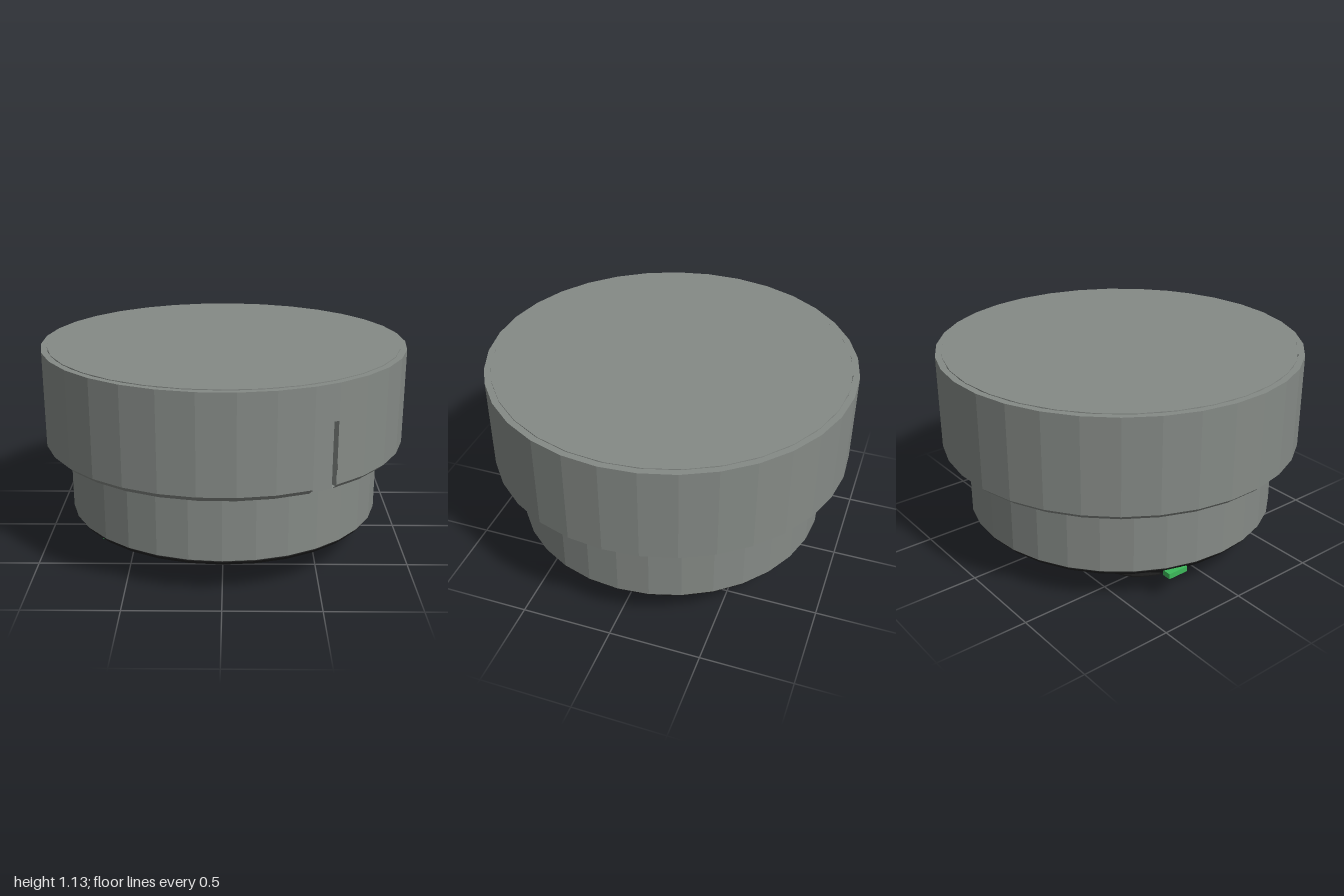
import * as THREE from 'three';
import { RoundedBoxGeometry } from 'three/addons/geometries/RoundedBoxGeometry.js';

const paint = (color) => new THREE.MeshStandardMaterial({ color, flatShading: true, side: THREE.DoubleSide });
const shell = paint(0x858a86), black = paint(0x222222), green = paint(0x3cb95a), grey = paint(0xcccccc);

export function createModel() {
  const model = new THREE.Group();

  const add = (name, geometry, material, x = 0, y = 0, z = 0) => {
    const mesh = new THREE.Mesh(geometry, material);
    mesh.name = name;
    mesh.position.set(x, y, z);
    model.add(mesh);
    return mesh;
  };
  const lathe = (profile, segments = 32, start = 0, sweep = Math.PI * 2) =>
    new THREE.LatheGeometry(profile.map(([r, y]) => new THREE.Vector2(r, y)), segments, start, sweep);

  // Wide upper ring, left open where the alignment slot is cut
  const slotAngle = Math.PI / 6, half = 0.07, slotRadius = 0.965;
  add('upperRing', lathe([[0.86, 0.58], [0.968, 0.58], [1, 0.61], [1, 1.13], [0.965, 1.13]],
    32, slotAngle + half, Math.PI * 2 - 2 * half), shell);

  // Slot floor, slot ceiling and the wall above it
  add('alignmentSlot', lathe([[0.86, 0.58], [slotRadius, 0.58], [slotRadius, 0.94], [1, 0.94], [1, 1.13], [0.965, 1.13]],
    1, slotAngle - half, 2 * half), shell);
  for (const side of [-1, 1]) {
    const a = slotAngle + side * half, r = (slotRadius + 0.998) / 2;
    const wall = add('slotWall', new THREE.PlaneGeometry(0.998 - slotRadius, 0.34), shell,
      Math.sin(a) * r, 0.77, Math.cos(a) * r);
    wall.rotation.y = a - Math.PI / 2;
  }

  // Top lid, a hair above the ring
  add('topLid', lathe([[0.965, 1.12], [0.965, 1.134], [0, 1.134]]), shell);

  // Narrower lower body
  add('lowerBody', lathe([[0.855, 0.2], [0.866, 0.21], [0.866, 0.59]]), shell);

  // Black base plate with a rounded rim
  add('basePlate', lathe([[0, 0.168], [0.81, 0.168], [0.84, 0.178], [0.86, 0.2], [0.862, 0.215], [0.8, 0.215]]), black);

  // Central foot: a bowl trimmed flat at the front and back, with softened edges
  const foot = lathe([[0, 0.005], [0.5, 0.005], [0.58, 0.014], [0.66, 0.045], [0.73, 0.09], [0.79, 0.135],
    [0.835, 0.175], [0.86, 0.205]], 64);
  const p = foot.attributes.position;
  for (let i = 0; i < p.count; i++) {
    const w = 0.35 - 0.035 * Math.max(0, 1 - p.getY(i) / 0.045);
    p.setZ(i, THREE.MathUtils.clamp(p.getZ(i), -w, w));
  }
  foot.computeVertexNormals();
  add('centralFoot', foot, black);

  // Rounded shoulders beside each connector
  const outline = new THREE.Shape();
  outline.moveTo(0.31, 0.3);
  outline.lineTo(0.31, 0.4);
  outline.quadraticCurveTo(0.31, 0.48, 0.39, 0.48);
  outline.lineTo(0.54, 0.48);
  outline.quadraticCurveTo(0.66, 0.47, 0.72, 0.3);
  const shoulder = (depth) => new THREE.ExtrudeGeometry(outline, {
    depth, bevelEnabled: true, bevelSize: 0.012, bevelThickness: 0.012, bevelOffset: -0.012, bevelSegments: 2, curveSegments: 6,
  }).rotateX(Math.PI / 2);
  for (const x of [-1, 1]) for (const z of [-1, 1]) {
    // The front right shoulder is thinner and leaves the circuit board showing
    const thin = x < 0 && z > 0;
    const mesh = add('shoulder', shoulder(thin ? 0.008 : 0.05), black, 0, thin ? 0.13 : 0.172, 0);
    mesh.scale.set(x, 1, z);
  }

  // Connectors along the front and back of the foot, each under a strip of circuit board
  for (const z of [-1, 1]) {
    add('connector', new RoundedBoxGeometry(0.6, 0.105, 0.13, 2, 0.012), grey, 0, 0.105, z * 0.385);
    add('boardStrip', new THREE.BoxGeometry(0.61, 0.016, 0.14), green, 0, 0.163, z * 0.39);
  }

  // Exposed pieces of circuit board
  add('boardCorner', new THREE.BoxGeometry(0.28, 0.035, 0.16), green, -0.51, 0.15, 0.38);
  add('boardTab', new THREE.BoxGeometry(0.05, 0.03, 0.12), green, -0.8, 0.17, -0.27);

  return model;
}
